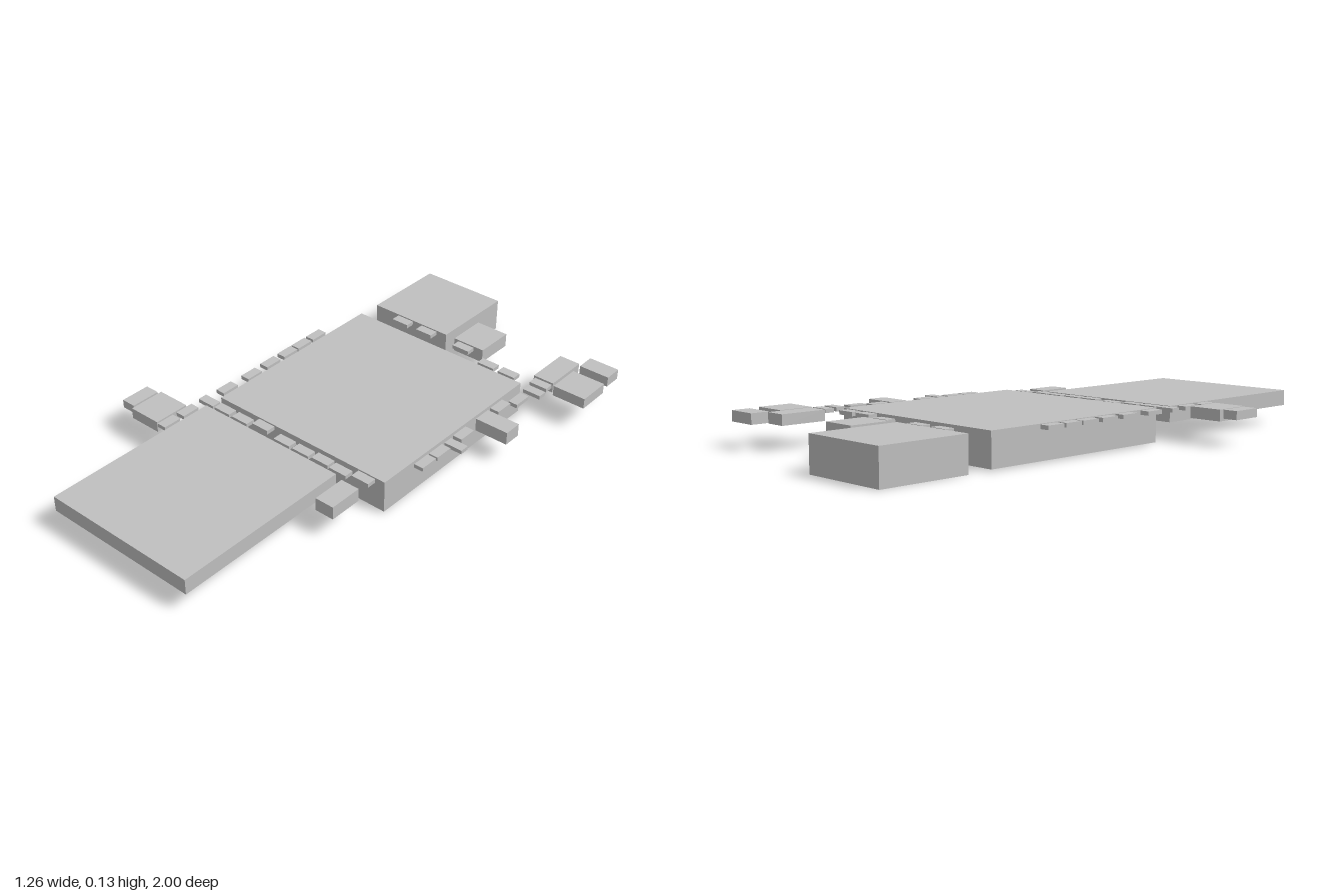
import * as THREE from 'three';

const TOP = 0.13; // every block is flush with this height

export function createModel() {
  const group = new THREE.Group();
  const grey = new THREE.MeshStandardMaterial({ color: 0xc0c0c0 });
  grey.name = 'plain grey';

  // Block given by its x range, z range and underside
  function block(name, x0, x1, z0, z1, bottom) {
    const mesh = new THREE.Mesh(new THREE.BoxGeometry(x1 - x0, TOP - bottom, z1 - z0), grey);
    mesh.name = name;
    mesh.position.set((x0 + x1) / 2, (TOP + bottom) / 2, (z0 + z1) / 2);
    group.add(mesh);
  }

  // Large slabs
  block('mainSlab', -0.375, 0.394, -0.561, 0.231, 0.006);
  block('frontSlab', -0.38, 0.24, 0.301, 1, 0.071);
  block('backBlock', -0.37, -0.02, -1, -0.652, 0);

  // Medium side blocks
  block('backSmallBlock', 0.02, 0.155, -0.81, -0.653, 0.076);
  block('cornerInnerBlock', 0.402, 0.486, -0.815, -0.637, 0.09);
  block('cornerBackBlock', 0.497, 0.619, -0.876, -0.804, 0.09);
  block('cornerOuterBlock', 0.497, 0.63, -0.758, -0.625, 0.089);
  block('leftSideBlock', 0.405, 0.539, -0.34, -0.268, 0.08);
  block('frontLeftBlock', 0.275, 0.35, 0.313, 0.443, 0.08);
  block('rightInnerBlock', -0.568, -0.436, 0.348, 0.49, 0.088);
  block('rightOuterBlock', -0.633, -0.576, 0.358, 0.475, 0.098);

  // Thin stepping pads: centre x, centre z; long and short sides
  const LONG = 0.073, SHORT = 0.037, UNDER = 0.115;
  function pads(name, alongX, centres) {
    const hx = (alongX ? LONG : SHORT) / 2, hz = (alongX ? SHORT : LONG) / 2;
    for (const [x, z] of centres) block(name, x - hx, x + hx, z - hz, z + hz, UNDER);
  }
  pads('rightPad', false, [
    [-0.406, -0.321], [-0.406, -0.237], [-0.406, -0.157], [-0.406, -0.062],
    [-0.403, 0.043], [-0.406, 0.169], [-0.41, 0.366], [-0.41, 0.457],
  ]);
  pads('frontPad', true, [
    [-0.394, 0.272], [-0.313, 0.272], [-0.225, 0.272], [-0.141, 0.255], [-0.021, 0.272],
    [0.067, 0.272], [0.152, 0.267], [0.235, 0.271], [0.321, 0.255],
  ]);
  pads('backPad', true, [
    [-0.217, -0.627], [-0.099, -0.627], [0.081, -0.627], [0.225, -0.591], [0.319, -0.591],
  ]);
  pads('leftCrossPad', true, [[0.451, -0.608], [0.46, -0.553], [0.444, -0.098]]);
  pads('leftPad', false, [
    [0.447, -0.471], [0.423, -0.391], [0.423, -0.169], [0.424, -0.031], [0.423, 0.049],
  ]);

  return group;
}
